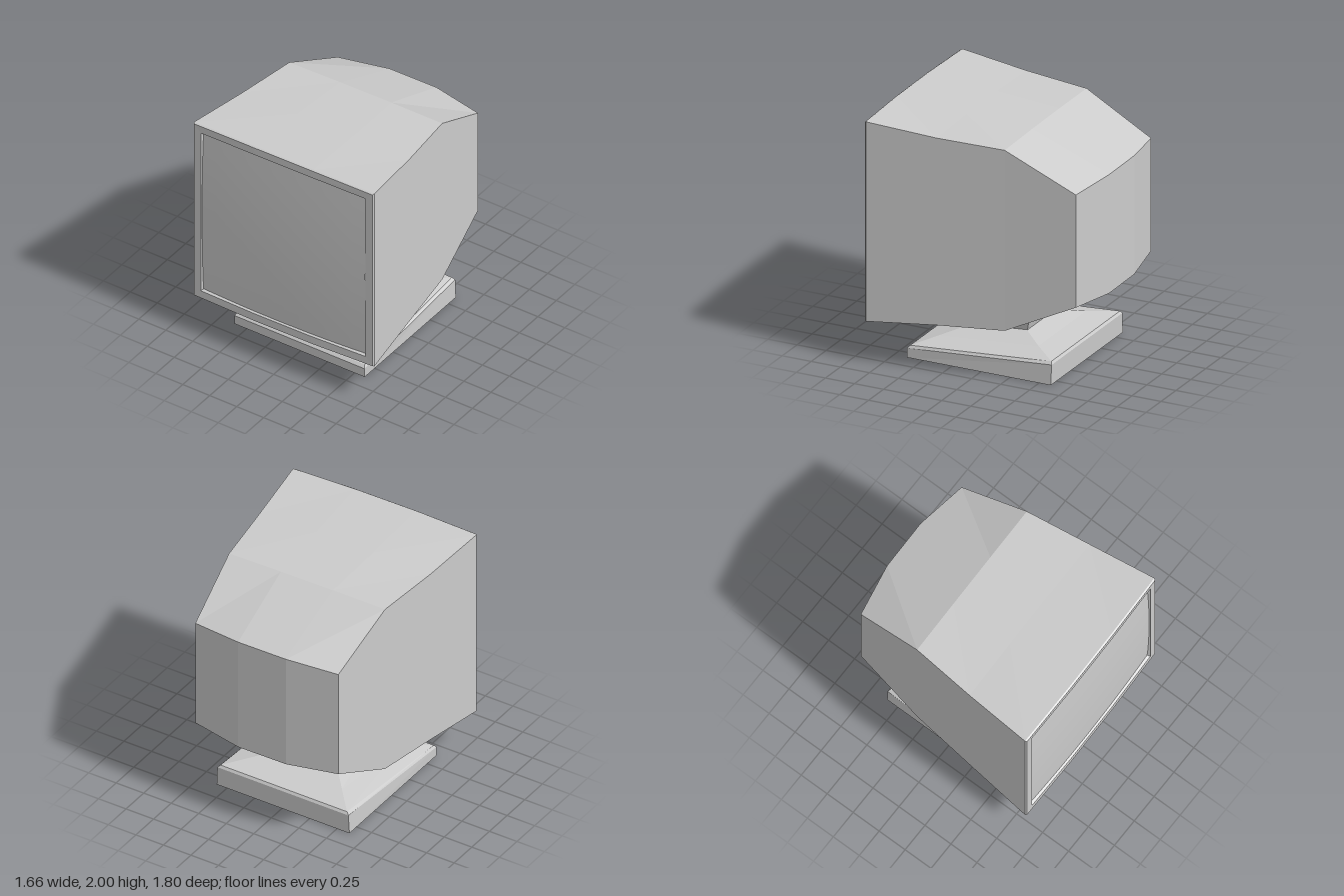
import * as THREE from 'three';

const grey = new THREE.MeshStandardMaterial({ color: 0xcccccc, flatShading: true });
const smoothGrey = new THREE.MeshStandardMaterial({ color: 0xcccccc });

// Skins a list of equal-length rings and adds extra cap quads (indices into all points)
function loft(name, rings, caps) {
  const n = rings[0].length;
  const index = [];
  const quad = (a, b, c, d) => index.push(a, b, c, a, c, d);
  for (let r = 0; r < rings.length - 1; r++) {
    for (let i = 0; i < n; i++) {
      const j = (i + 1) % n;
      quad(r * n + i, r * n + j, (r + 1) * n + j, (r + 1) * n + i);
    }
  }
  caps.forEach((c) => quad(...c));
  const geometry = new THREE.BufferGeometry();
  geometry.setAttribute('position', new THREE.Float32BufferAttribute(rings.flat(2), 3));
  geometry.setIndex(index);
  const flat = geometry.toNonIndexed();
  flat.computeVertexNormals();
  const mesh = new THREE.Mesh(flat, grey);
  mesh.name = name;
  return mesh;
}

// Casing cross-section: four points along the bottom and four along the top;
// the middle pairs bulge by dy (up and down) and dz (along the depth)
function casingRing(hw, y0, y1, z, dy = 0, dz = 0) {
  const xs = [-1, -1 / 3, 1 / 3, 1];
  const row = (y, s) => xs.map((x, i) => {
    const middle = i === 1 || i === 2;
    return [x * hw, y + (middle ? s * dy : 0), z + (middle ? dz : 0)];
  });
  return [...row(y0, -1), ...row(y1, 1).reverse()];
}

// Four-cornered ring whose height differs between front and back
function tiltedRing(hwFront, hwBack, zFront, zBack, yFront, yBack) {
  const cx = -0.01;
  return [
    [cx - hwFront, yFront, zFront], [cx + hwFront, yFront, zFront],
    [cx + hwBack, yBack, zBack], [cx - hwBack, yBack, zBack],
  ];
}

export function createModel() {
  const model = new THREE.Group();
  model.name = 'monitor';

  // Head, swivelled very slightly on the stand
  const head = new THREE.Group();
  head.name = 'head';
  head.rotation.y = 0.012;
  model.add(head);

  // Casing from the faceted back to the bezel and its recessed opening
  head.add(loft('casing', [
    casingRing(0.645, 0.70, 1.63, -0.83, 0.025, -0.07),
    casingRing(0.703, 0.425, 1.915, -0.25, 0.005),
    casingRing(0.768, 0.395, 1.94, 0.3, 0.015, 0),
    casingRing(0.828, 0.345, 1.992, 0.872, 0.008, 0.01),
    casingRing(0.82, 0.352, 1.985, 0.886, 0.008, 0.01),
    casingRing(0.757, 0.418, 1.922, 0.886, 0.006, 0.01),
    casingRing(0.745, 0.43, 1.91, 0.855),
  ], [0, 1, 2].map((i) => [i, 7 - i, 6 - i, i + 1])));

  // Gently domed screen
  const w = 0.75;
  const screenGeometry = new THREE.PlaneGeometry(2 * w, 2 * w, 12, 12);
  const p = screenGeometry.attributes.position;
  for (let i = 0; i < p.count; i++) {
    const u = p.getX(i) / w, v = p.getY(i) / w;
    p.setZ(i, 0.04 - 0.018 * (u * u + v * v));
  }
  screenGeometry.computeVertexNormals();
  const screen = new THREE.Mesh(screenGeometry, smoothGrey);
  screen.name = 'screen';
  screen.position.set(0, 1.17, 0.858);
  head.add(screen);

  // Neck flaring up into the casing
  model.add(loft('neck', [
    tiltedRing(0.235, 0.235, 0.265, -0.21, 0.205, 0.245),
    tiltedRing(0.285, 0.285, 0.32, -0.262, 0.405, 0.435),
  ], [[4, 5, 6, 7], [3, 2, 1, 0]]));

  // Wedge base with a chamfered lip and a sloping top
  model.add(loft('base', [
    tiltedRing(0.603, 0.603, 0.635, -0.6, 0, 0),
    tiltedRing(0.603, 0.595, 0.635, -0.603, 0.078, 0.165),
    tiltedRing(0.59, 0.575, 0.615, -0.59, 0.1, 0.185),
    tiltedRing(0.42, 0.4, 0.45, -0.39, 0.153, 0.212),
    tiltedRing(0.24, 0.24, 0.265, -0.21, 0.215, 0.253),
  ], [[16, 17, 18, 19], [3, 2, 1, 0]]));

  return model;
}
